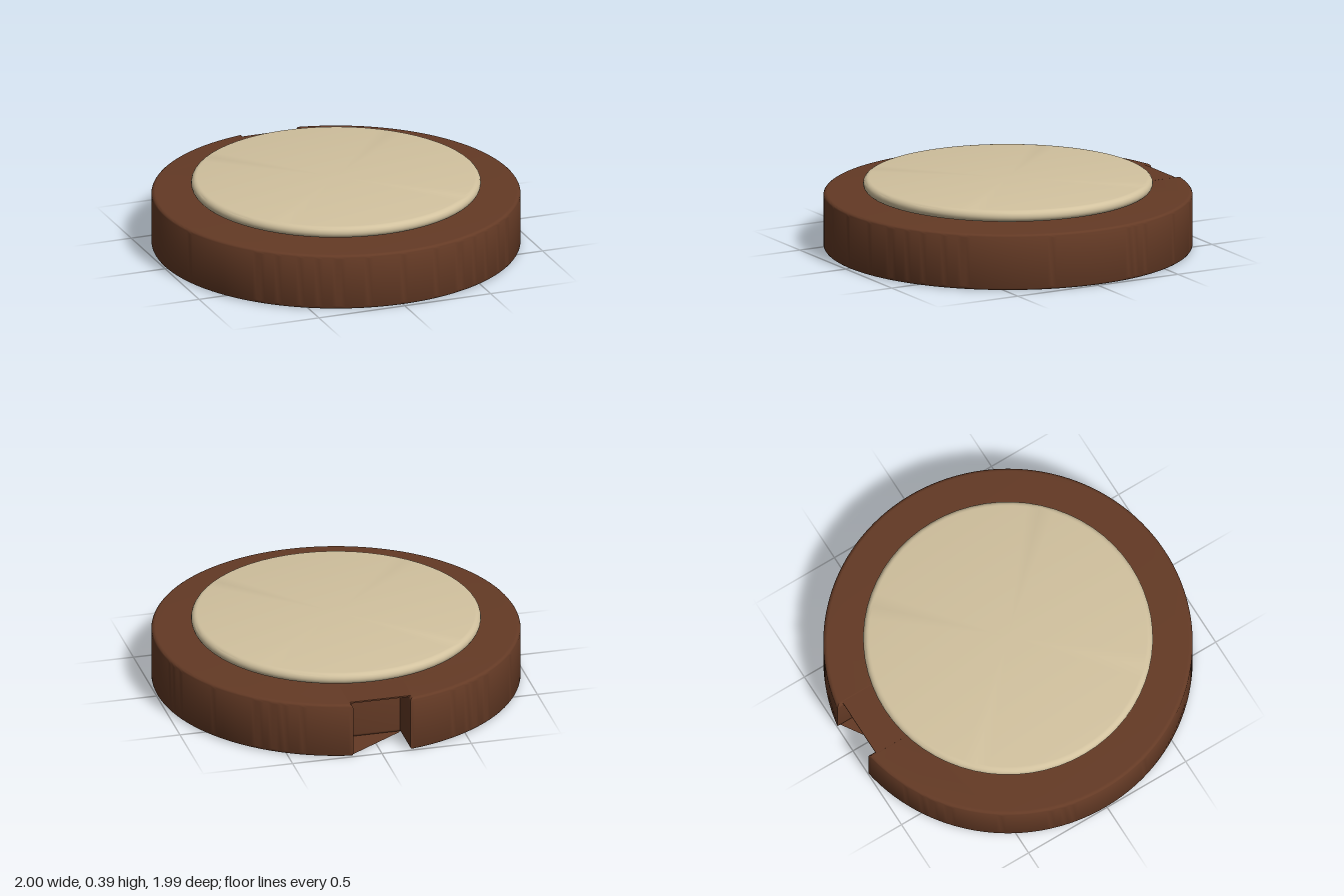
import * as THREE from 'three';
import { toCreasedNormals } from 'three/addons/utils/BufferGeometryUtils.js';

const CENTRE_Z = -0.013; // the round parts sit slightly behind the origin
const HEIGHT = 0.31;
const SLOT_HALF = 0.16;
const SLOT_DEPTH = 0.755; // distance from the disc centre to the slot's inner wall
const BEVEL = 0.02;

export function createModel() {
  const brown = new THREE.MeshStandardMaterial({ color: 0x643a25, side: THREE.DoubleSide });
  brown.name = 'dark brown';
  const cream = new THREE.MeshStandardMaterial({ color: 0xd2c29f });
  cream.name = 'cream';

  const model = new THREE.Group();
  model.name = 'roundBase';
  const add = (name, geometry, material, y = 0) => {
    const mesh = new THREE.Mesh(geometry, material);
    mesh.name = name;
    mesh.position.set(0, y, CENTRE_Z);
    model.add(mesh);
  };

  // Body: a disc with a slot cut in the back edge, edges rounded
  const a = Math.asin(SLOT_HALF);
  const outline = new THREE.Shape();
  outline.moveTo(SLOT_HALF, SLOT_DEPTH);
  outline.lineTo(-SLOT_HALF, SLOT_DEPTH);
  outline.absarc(0, 0, 1, Math.PI / 2 + a, Math.PI * 2.5 - a, false);
  outline.closePath();
  const body = new THREE.ExtrudeGeometry(outline, {
    depth: HEIGHT - 2 * BEVEL,
    bevelEnabled: true,
    bevelThickness: BEVEL,
    bevelSize: BEVEL,
    bevelOffset: -BEVEL,
    bevelSegments: 4,
    curveSegments: 120,
  });
  body.translate(0, 0, BEVEL).rotateX(-Math.PI / 2);
  add('body', toCreasedNormals(body, 0.6), brown);

  // Thin roof over the slot, ending in a straight back edge
  const roof = new THREE.BoxGeometry(2 * SLOT_HALF + 0.03, 0.008, 0.225);
  roof.translate(0, HEIGHT - 0.0045, -0.8345);
  add('slotRoof', roof, brown);

  // Three-cornered web across part of the slot's floor
  const web = new THREE.Shape([
    new THREE.Vector2(SLOT_HALF + 0.01, 0.97),
    new THREE.Vector2(-SLOT_HALF, SLOT_DEPTH),
    new THREE.Vector2(-SLOT_HALF, SLOT_DEPTH - 0.02),
    new THREE.Vector2(SLOT_HALF + 0.01, SLOT_DEPTH - 0.02),
  ]);
  add('slotFloor', new THREE.ShapeGeometry(web).rotateX(-Math.PI / 2), brown, 0.002);

  // Pad: a thin disc with a fully rounded rim, floating just above the body
  const R = 0.785, r = 0.032;
  const profile = [new THREE.Vector2(0, 0)];
  for (let i = 0; i <= 10; i++) {
    const t = -Math.PI / 2 + (Math.PI * i) / 10;
    profile.push(new THREE.Vector2(R - r + r * Math.cos(t), r + r * Math.sin(t)));
  }
  profile.push(new THREE.Vector2(0, 2 * r));
  const pad = toCreasedNormals(new THREE.LatheGeometry(profile, 64), 0.6);
  add('pad', pad, cream, 0.325);

  return model;
}
